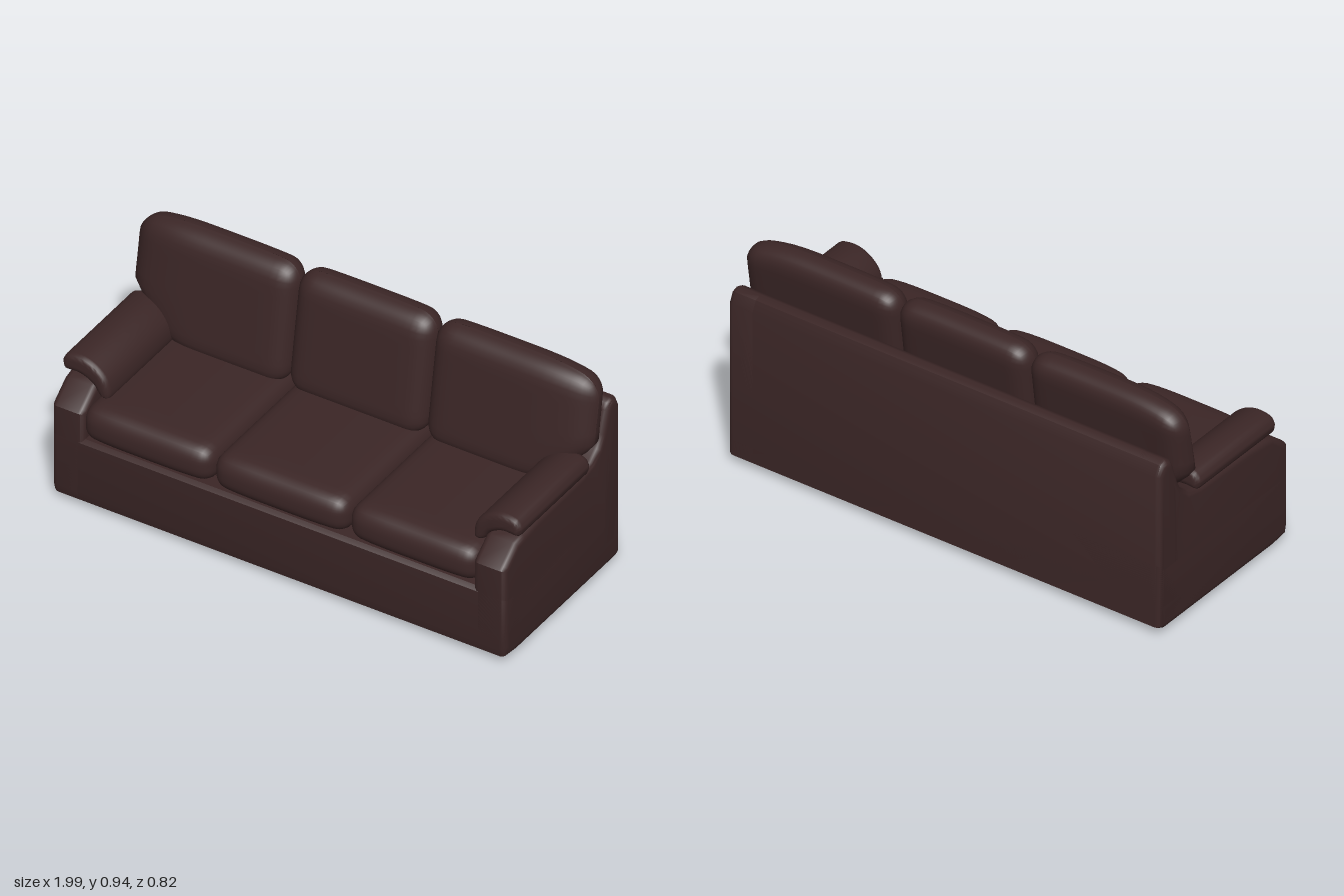
import * as THREE from 'three';
import { mergeVertices, toCreasedNormals } from 'three/addons/utils/BufferGeometryUtils.js';

const leather = new THREE.MeshStandardMaterial({ color: 0x3b2626 });
leather.name = 'dark brown leather';

const add = (group, name, geometry, x = 0, y = 0, z = 0) => {
  const mesh = new THREE.Mesh(geometry, leather);
  mesh.name = name;
  mesh.position.set(x, y, z);
  group.add(mesh);
  return mesh;
};

// Extrude an outline with a rounded edge; the outline stays the outer limit
function softExtrude(points, length, bevel) {
  const shape = new THREE.Shape(points.map(([a, b]) => new THREE.Vector2(a, b)));
  const geometry = new THREE.ExtrudeGeometry(shape, {
    depth: length - 2 * bevel, bevelEnabled: true, bevelSize: bevel,
    bevelThickness: bevel, bevelOffset: -bevel, bevelSegments: 4,
  });
  geometry.translate(0, 0, bevel - length / 2);
  return toCreasedNormals(geometry, 0.75);
}

// Extrude a (z, y) side outline across the width
const sideExtrude = (points, width, bevel) =>
  softExtrude(points, width, bevel).rotateY(-Math.PI / 2);

// Padded box: rounded edges, then a warp rule given each point and its -1..1 position
function cushion(w, h, d, r, warp) {
  const geometry = new THREE.BoxGeometry(2, 2, 2, 24, 18, 18);
  geometry.deleteAttribute('uv');
  geometry.deleteAttribute('normal');
  const half = new THREE.Vector3(w / 2, h / 2, d / 2);
  const inner = half.clone().subScalar(r);
  const p = new THREE.Vector3(), core = new THREE.Vector3(), n = new THREE.Vector3();
  const pos = geometry.attributes.position;
  const spread = (t) => Math.sin(t * Math.PI / 2);
  for (let i = 0; i < pos.count; i++) {
    p.fromBufferAttribute(pos, i);
    p.set(spread(p.x), spread(p.y), spread(p.z)).multiply(half);
    core.copy(p).clamp(inner.clone().negate(), inner);
    p.sub(core).normalize().multiplyScalar(r).add(core);
    n.copy(p).divide(half);
    warp(p, n);
    pos.setXYZ(i, p.x, p.y, p.z);
  }
  const smooth = mergeVertices(geometry, 1e-5);
  smooth.computeVertexNormals();
  return smooth;
}

export function createModel() {
  const sofa = new THREE.Group();
  sofa.name = 'sofa';

  // Base and backrest panel
  add(sofa, 'base', sideExtrude([
    [0.38, 0.03], [0.39, 0.07], [0.39, 0.295], [0.375, 0.31],
    [-0.41, 0.31], [-0.41, 0.035], [-0.38, 0.02], [0.30, 0.02],
  ], 1.97, 0.025));
  add(sofa, 'backPanel', sideExtrude([
    [-0.27, 0.1], [-0.29, 0.6], [-0.32, 0.72], [-0.335, 0.745], [-0.36, 0.755],
    [-0.39, 0.745], [-0.41, 0.70], [-0.41, 0.1],
  ], 1.97, 0.025));

  // Arms sweeping up into the back
  const armOutline = [
    [0.38, 0.03], [0.39, 0.07], [0.39, 0.425], [0.375, 0.44], [0.30, 0.50], [0.25, 0.513],
    [0.15, 0.525], [-0.15, 0.53], [-0.22, 0.545], [-0.265, 0.58], [-0.29, 0.63], [-0.32, 0.72],
    [-0.335, 0.745], [-0.36, 0.755], [-0.39, 0.745], [-0.41, 0.70],
    [-0.41, 0.035], [-0.38, 0.02], [0.30, 0.02],
  ];
  // Cross-section of the pad that drapes over each arm
  const padSection = [
    [0.997, 0.565], [0.975, 0.598], [0.91, 0.607], [0.85, 0.585], [0.805, 0.54],
    [0.79, 0.485], [0.80, 0.455], [0.835, 0.465], [0.865, 0.505], [0.92, 0.53], [0.983, 0.53],
  ];
  for (const side of [1, -1]) {
    const label = side > 0 ? 'left' : 'right';
    add(sofa, label + 'Arm', sideExtrude(armOutline, 0.14, 0.025), side * 0.915);

    const loop = [...padSection, padSection[0]].map(([x, y]) => new THREE.Vector2(side * x, y));
    const outline = new THREE.SplineCurve(loop).getPoints(44).slice(0, -1).map((v) => [v.x, v.y]);
    add(sofa, label + 'ArmPad', softExtrude(outline, 0.495, 0.024), 0, 0, 0.057);
  }

  // Seat cushions, crowned on top and at the front
  ['right', 'middle', 'left'].forEach((label, i) => {
    const side = i - 1;
    const width = side ? 0.57 : 0.59;
    const seat = cushion(width, 0.145, 0.66, 0.06, (p, n) => {
      const crown = 1 - n.x ** 4;
      if (n.y > 0) p.y += 0.016 * n.y * crown;
      if (n.z > 0) p.z += 0.022 * n.z * crown * (1 - 0.3 * n.y ** 2);
    });
    add(sofa, label + 'SeatCushion', seat, side * 0.578, 0.383, 0.055);
  });

  // Back cushions lean back; the outer ones are cut away above the arms
  ['right', 'middle', 'left'].forEach((label, i) => {
    const side = i - 1;
    const width = side ? 0.70 : 0.60;
    const height = 0.50, centreY = 0.685;
    const back = cushion(width, height, 0.165, 0.078, (p, n) => {
      const outer = Math.max(0, n.x * side);
      const y = centreY + p.y;
      if (n.y > 0) p.y -= n.y * (0.012 * n.x ** 4 + 0.035 * outer ** 3);
      if (n.z > 0) p.z -= n.z * (0.012 * n.x ** 4 + 0.03 * outer ** 3);
      p.z -= (n.z > 0 ? 0.16 : 0.13) * (y - 0.47);
      const cut = Math.max(0, 0.63 - y);
      p.x -= side * outer * cut;
    });
    add(sofa, label + 'BackCushion', back, side * 0.647, centreY, -0.19);
  });

  // Small tapered feet
  for (const x of [-0.92, 0.92]) {
    for (const z of [0.27, -0.34]) {
      add(sofa, 'foot', toCreasedNormals(new THREE.CylinderGeometry(0.03, 0.017, 0.03, 10), 0.7), x, 0.015, z);
    }
  }
  return sofa;
}
